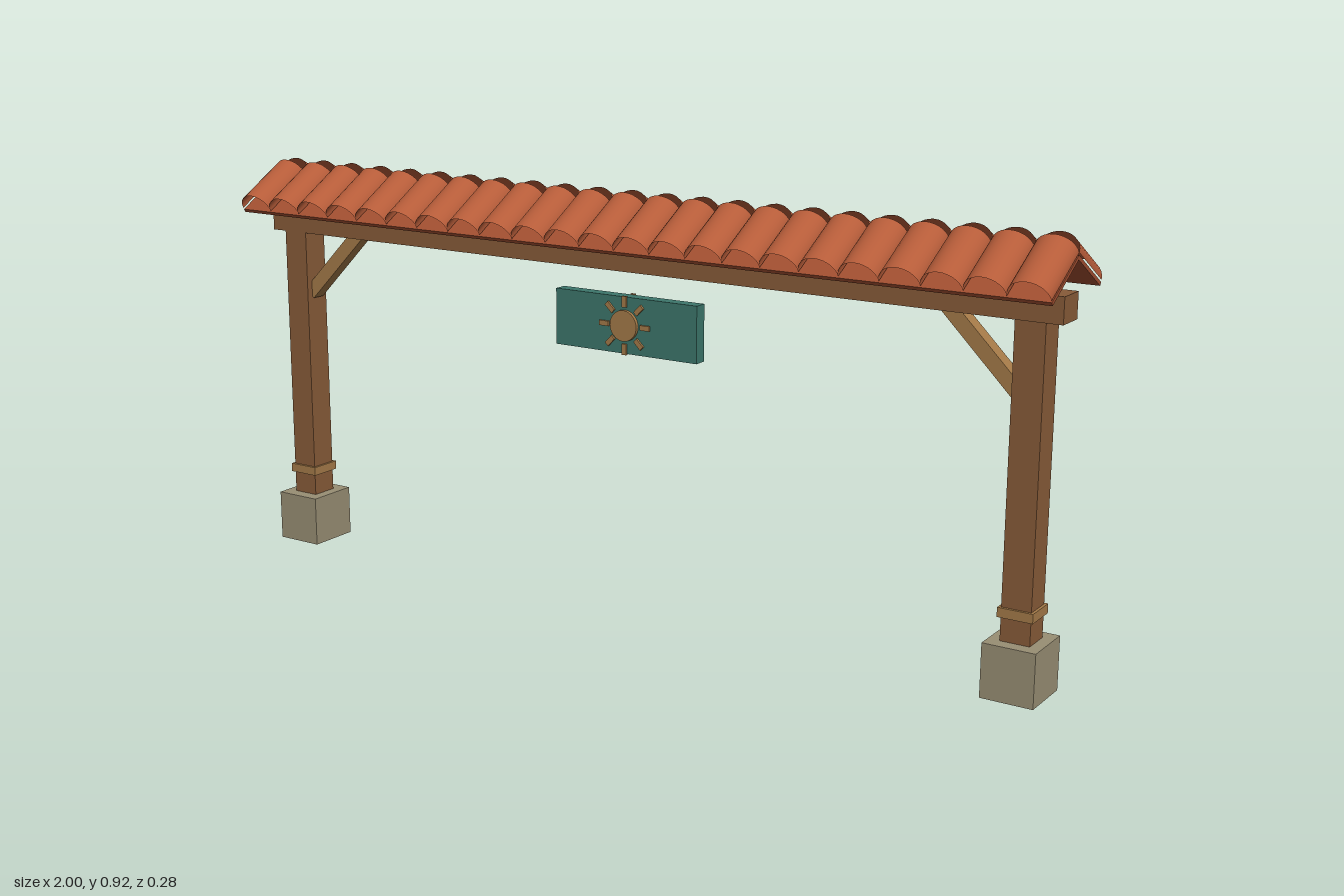
import * as THREE from 'three';

const mat = (name, color, side = THREE.FrontSide) => {
  const m = new THREE.MeshStandardMaterial({ color, side });
  m.name = name;
  return m;
};

export function createModel() {
  const wood = mat('brown wood', 0x875b38);
  const lightWood = mat('light wood', 0xa47a48);
  const stone = mat('stone', 0x988e74);
  const clay = mat('terracotta', 0xb65c39, THREE.DoubleSide);
  const underlay = mat('dark terracotta', 0xa04e30);
  const teal = mat('teal paint', 0x3c766b);

  const model = new THREE.Group();
  model.name = 'gateway';

  const add = (parent, name, geometry, material, x = 0, y = 0, z = 0) => {
    const mesh = new THREE.Mesh(geometry, material);
    mesh.name = name;
    mesh.position.set(x, y, z);
    parent.add(mesh);
    return mesh;
  };
  const box = (parent, name, size, material, x, y, z) =>
    add(parent, name, new THREE.BoxGeometry(...size), material, x, y, z);

  // Posts with footing, collar and diagonal brace
  for (const side of [-1, 1]) {
    const post = new THREE.Group();
    post.name = side > 0 ? 'leftPost' : 'rightPost';
    const x = side * 0.924;
    box(post, 'footing', [0.113, 0.115, 0.122], stone, x, 0.0575, 0);
    box(post, 'shaft', [0.063, 0.721, 0.063], wood, x, 0.4755, 0);
    box(post, 'collar', [0.075, 0.02, 0.075], lightWood, x, 0.175, 0);
    const brace = box(post, 'brace', [0.225, 0.032, 0.032], lightWood, side * 0.82, 0.69, 0);
    brace.rotation.z = -side * Math.PI / 4;
    model.add(post);
  }

  // Cross beam
  box(model, 'beam', [1.98, 0.054, 0.068], wood, 0, 0.784, 0);

  // Two roof slopes: thin underlay and a row of open half-round tiles
  const count = 23, pitch = 2 / count, length = 0.142;
  const tile = new THREE.CylinderGeometry(pitch / 2, pitch / 2, length, 14, 1, true, Math.PI / 2, Math.PI);
  tile.rotateX(Math.PI / 2);
  tile.scale(1, 0.89, 1);
  for (const back of [false, true]) {
    const half = new THREE.Group();
    half.name = back ? 'backRoof' : 'frontRoof';
    half.position.y = 0.89;
    half.rotation.y = back ? Math.PI : 0;
    const slope = new THREE.Group();
    slope.name = 'slope';
    slope.rotation.x = Math.PI / 6;
    box(slope, 'underlay', [2, 0.008, length - 0.004], underlay, 0, -0.008, length / 2 + 0.002);
    for (let i = 0; i < count; i++)
      add(slope, 'tile', tile, clay, -1 + pitch * (i + 0.5), 0, length / 2);
    half.add(slope);
    model.add(half);
  }

  // Sign board with a sun emblem on both faces
  const sign = new THREE.Group();
  sign.name = 'sign';
  sign.position.y = 0.637;
  box(sign, 'board', [0.36, 0.124, 0.03], teal, 0, 0, 0);
  const disc = new THREE.CylinderGeometry(0.034, 0.034, 0.009, 20).rotateX(Math.PI / 2);
  for (const face of [-1, 1]) {
    const z = face * 0.0185;
    add(sign, 'sunDisc', disc, lightWood, 0, 0, z);
    for (let i = 0; i < 8; i++) {
      const a = i * Math.PI / 4;
      const ray = box(sign, 'sunRay', [0.024, 0.011, 0.006], lightWood,
        Math.cos(a) * 0.052, Math.sin(a) * 0.052, face * 0.017);
      ray.rotation.z = a;
    }
  }
  model.add(sign);

  return model;
}
